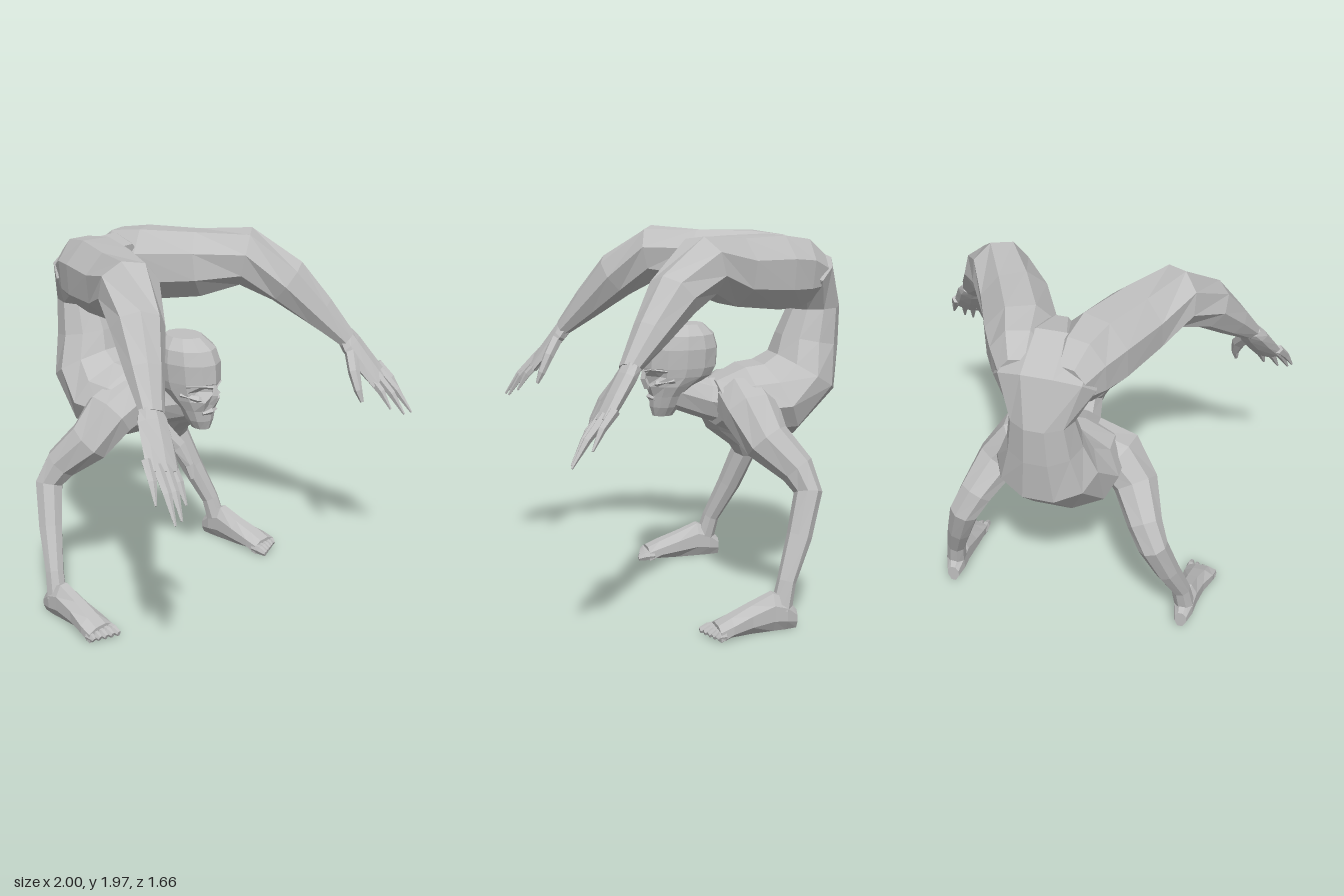
import * as THREE from 'three';

const skin = new THREE.MeshStandardMaterial({ color: 0xc0c0c0 });
skin.name = 'grey skin';

// Loft through sections [x, y, z, halfWidth, halfDepth]; side is the width direction.
function loft(sections, side, { n = 8, axis = null, turn = 0, tweak = null } = {}) {
  const centres = sections.map(s => new THREE.Vector3(s[0], s[1], s[2]));
  const last = sections.length - 1;
  const pos = [], index = [];
  sections.forEach((s, i) => {
    const t = axis ? new THREE.Vector3(...axis)
      : centres[Math.min(i + 1, last)].clone().sub(centres[Math.max(i - 1, 0)]);
    t.normalize();
    const u = new THREE.Vector3(...side);
    u.addScaledVector(t, -u.dot(t)).normalize();
    const w = t.clone().cross(u);
    for (let j = 0; j < n; j++) {
      const a = ((j + turn) / n) * Math.PI * 2;
      const p = centres[i].clone()
        .addScaledVector(u, Math.cos(a) * s[3])
        .addScaledVector(w, Math.sin(a) * s[4]);
      if (tweak) tweak(p, i, j);
      pos.push(p.x, p.y, p.z);
    }
  });
  for (let i = 0; i < last; i++) {
    for (let j = 0; j < n; j++) {
      const k = (j + 1) % n;
      const a = i * n + j, b = i * n + k, c = (i + 1) * n + k, d = (i + 1) * n + j;
      index.push(a, b, c, a, c, d);
    }
  }
  for (let j = 1; j < n - 1; j++) {
    index.push(0, j + 1, j, last * n, last * n + j, last * n + j + 1);
  }
  const g = new THREE.BufferGeometry();
  g.setAttribute('position', new THREE.Float32BufferAttribute(pos, 3));
  g.setIndex(index);
  const faceted = g.toNonIndexed();
  faceted.computeVertexNormals();
  return faceted;
}

// Copy for the other side: flip x and reverse the corner order.
function mirrored(g) {
  const m = g.clone().scale(-1, 1, 1);
  const p = m.attributes.position;
  for (let i = 0; i < p.count; i += 3) {
    const b = new THREE.Vector3().fromBufferAttribute(p, i + 1);
    const c = new THREE.Vector3().fromBufferAttribute(p, i + 2);
    p.setXYZ(i + 1, c.x, c.y, c.z);
    p.setXYZ(i + 2, b.x, b.y, b.z);
  }
  m.computeVertexNormals();
  return m;
}

export function createModel() {
  const model = new THREE.Group();
  model.name = 'backbendCreature';
  const add = (name, g) => {
    const mesh = new THREE.Mesh(g, skin);
    mesh.name = name;
    model.add(mesh);
  };
  const pair = (name, g) => {
    add(name + 'Left', g);
    add(name + 'Right', mirrored(g));
  };
  const X = [1, 0, 0];

  // Arched torso from raised pelvis round to the neck
  add('torso', loft([
    [0, 1.74, -0.38, 0.10, 0.16],
    [0, 1.75, -0.52, 0.24, 0.18],
    [0, 1.71, -0.66, 0.25, 0.165],
    [0, 1.55, -0.705, 0.16, 0.14],
    [0, 1.38, -0.67, 0.19, 0.17],
    [0, 1.21, -0.64, 0.255, 0.20],
    [0, 1.07, -0.48, 0.32, 0.22],
    [0, 1.06, -0.30, 0.31, 0.20],
    [0, 1.06, -0.14, 0.21, 0.125],
  ], X, { n: 10 }));
  add('neck', loft([
    [0, 1.06, -0.22, 0.16, 0.13],
    [0, 1.08, -0.10, 0.12, 0.11],
    [0, 1.13, 0.06, 0.09, 0.10],
  ], X));

  // Skull with sunken eye sockets and a narrow jaw
  add('head', loft([
    [0, 1.00, 0.135, 0.04, 0.055],
    [0, 1.05, 0.125, 0.07, 0.08],
    [0, 1.11, 0.11, 0.092, 0.10],
    [0, 1.165, 0.085, 0.118, 0.13],
    [0, 1.215, 0.05, 0.132, 0.185],
    [0, 1.26, 0.04, 0.14, 0.20],
    [0, 1.36, 0.035, 0.147, 0.20],
    [0, 1.43, 0.03, 0.133, 0.175],
    [0, 1.485, 0.02, 0.085, 0.105],
  ], X, {
    n: 12, axis: [0, 1, 0],
    tweak: (p, i, j) => {
      if (i === 4 && (j === 8 || j === 10)) p.z -= 0.045;
      if (i === 3 && (j === 8 || j === 10)) p.z += 0.02;
    },
  }));
  add('nose', loft([
    [0, 1.25, 0.23, 0.012, 0.015],
    [0, 1.20, 0.235, 0.022, 0.02],
    [0, 1.15, 0.215, 0.03, 0.02],
  ], X, { n: 4 }));
  pair('brow', loft([
    [0.01, 1.24, 0.228, 0.012, 0.012],
    [0.06, 1.255, 0.208, 0.012, 0.015],
    [0.115, 1.25, 0.135, 0.012, 0.012],
  ], [0, 1, 0], { n: 4 }));
  pair('cheekbone', loft([
    [0.03, 1.17, 0.20, 0.012, 0.012],
    [0.075, 1.18, 0.185, 0.018, 0.018],
    [0.12, 1.2, 0.10, 0.012, 0.012],
  ], [0, 1, 0], { n: 4 }));
  add('lips', loft([
    [-0.05, 1.1, 0.19, 0.012, 0.015],
    [0, 1.105, 0.21, 0.018, 0.015],
    [0.05, 1.1, 0.19, 0.012, 0.015],
  ], [0, 1, 0], { n: 4 }));

  // Raised limbs: thick thigh, bent knee, tapering shin
  pair('raisedLimb', loft([
    [0.12, 1.73, -0.68, 0.10, 0.12],
    [0.145, 1.75, -0.57, 0.15, 0.19],
    [0.185, 1.76, -0.41, 0.19, 0.205],
    [0.31, 1.78, -0.14, 0.18, 0.185],
    [0.45, 1.82, 0.06, 0.155, 0.155],
    [0.58, 1.69, 0.24, 0.135, 0.13],
    [0.685, 1.53, 0.38, 0.10, 0.09],
    [0.775, 1.38, 0.51, 0.065, 0.045],
  ], X, { turn: 0.5 }));

  // Hands hanging from the raised limbs
  const across = [1, 0.2, -0.2];
  pair('palm', loft([
    [0.775, 1.40, 0.49, 0.06, 0.045],
    [0.79, 1.35, 0.525, 0.085, 0.045],
    [0.825, 1.26, 0.59, 0.09, 0.04],
    [0.87, 1.16, 0.665, 0.092, 0.03],
  ], across));
  [
    [[0.805, 1.19, 0.64], [0.835, 1.02, 0.77]],
    [[0.85, 1.19, 0.655], [0.91, 0.98, 0.81]],
    [[0.895, 1.20, 0.645], [0.965, 0.98, 0.82]],
    [[0.925, 1.225, 0.61], [0.995, 1.06, 0.73]],
  ].forEach(([root, tip], i) => {
    const mid = root.map((v, k) => (v + tip[k]) / 2 + (k === 0 ? 0 : 0.008));
    pair('finger' + (i + 1), loft([
      [...root, 0.028, 0.026], [...mid, 0.023, 0.02], [...tip, 0.006, 0.006],
    ], across, { n: 5 }));
  });
  pair('thumb', loft([
    [0.76, 1.32, 0.55, 0.045, 0.035],
    [0.705, 1.23, 0.61, 0.038, 0.03],
    [0.685, 1.14, 0.655, 0.022, 0.022],
    [0.69, 1.08, 0.68, 0.01, 0.01],
  ], across, { n: 6 }));

  // Standing limbs: shoulder, bent elbow, slim lower part
  pair('standingLimb', loft([
    [0.12, 1.08, -0.27, 0.15, 0.14],
    [0.27, 1.04, -0.27, 0.155, 0.13],
    [0.37, 0.91, -0.32, 0.125, 0.115],
    [0.455, 0.77, -0.455, 0.092, 0.09],
    [0.51, 0.66, -0.495, 0.072, 0.08],
    [0.575, 0.45, -0.425, 0.065, 0.066],
    [0.64, 0.24, -0.335, 0.048, 0.052],
    [0.66, 0.10, -0.30, 0.055, 0.055],
  ], [0, 0, 1], { turn: 0.5 }));

  // Feet flat on the ground with five toes each
  pair('foot', loft([
    [0.655, 0.055, -0.38, 0.035, 0.045],
    [0.658, 0.085, -0.32, 0.055, 0.09],
    [0.66, 0.10, -0.25, 0.06, 0.105],
    [0.665, 0.075, -0.13, 0.07, 0.078],
    [0.68, 0.052, -0.02, 0.088, 0.054],
    [0.685, 0.036, 0.05, 0.09, 0.036],
  ], X, {
    axis: [0, 0, 1], turn: 0.5,
    tweak: p => { if (p.y < 0.03) p.y = 0; },
  }));
  for (let i = 0; i < 5; i++) {
    const x = 0.617 + i * 0.034;
    const r = 0.022 - i * 0.001;
    pair('toe' + (i + 1), loft([
      [x, 0.03, 0.02, r, 0.03],
      [x, 0.028, 0.075 - i * 0.006, r, 0.026],
      [x, 0.018, 0.115 - i * 0.012, r * 0.6, 0.016],
    ], X, { n: 6 }));
  }
  return model;
}
